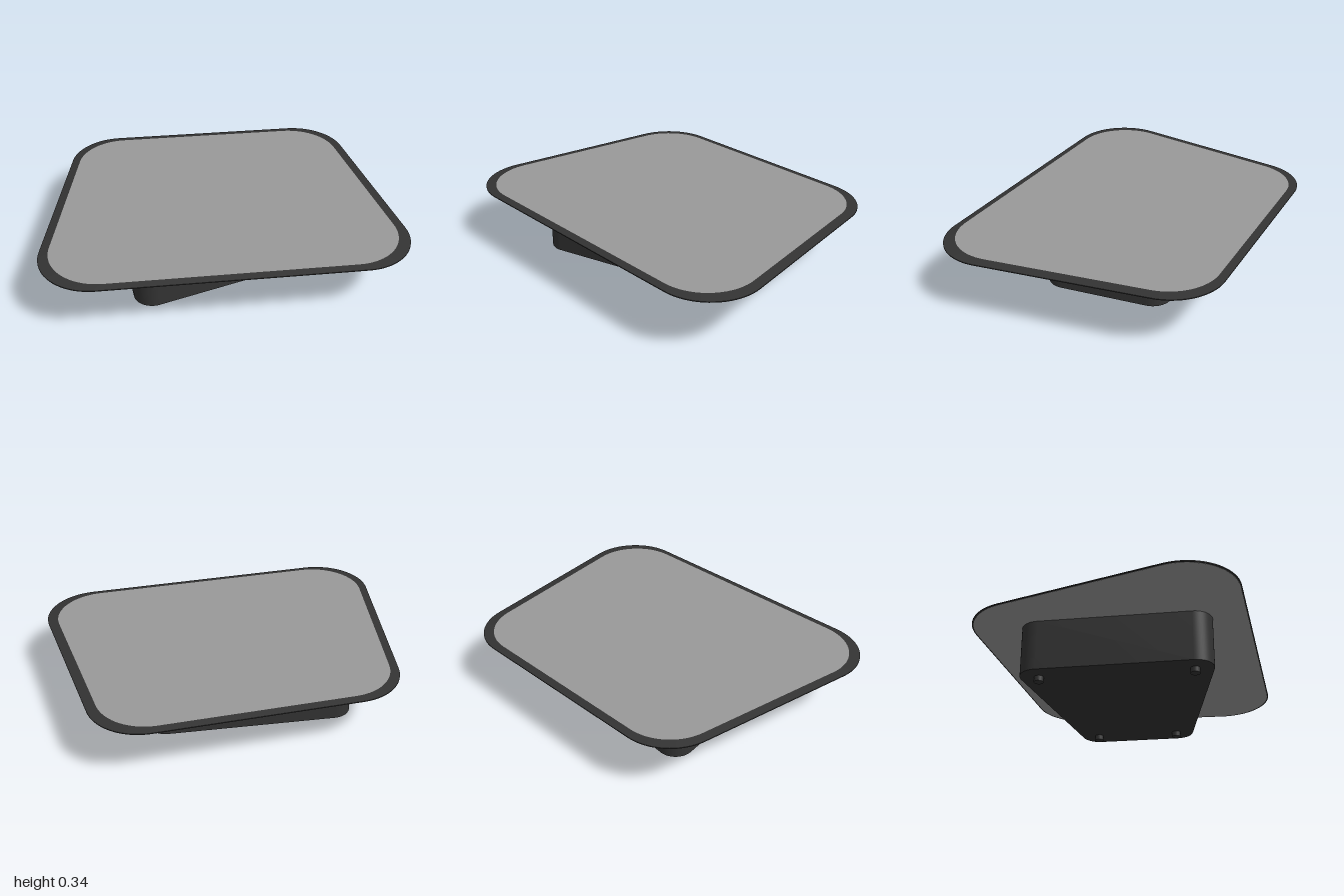
import * as THREE from 'three';
import { toCreasedNormals } from 'three/addons/utils/BufferGeometryUtils.js';

const dark = new THREE.MeshStandardMaterial({ color: 0x333333 });
const light = new THREE.MeshStandardMaterial({ color: 0x999999 });

// Corner centres as [x, z], listed front right, front left, back left, back right
const TOP = [[-0.70, 0.375], [0.70, 0.525], [0.668, -0.412], [-0.43, -0.53]];
const BASE = [[-0.405, 0.405], [0.515, 0.225], [0.515, -0.27], [-0.405, -0.45]];

// Rounded four-sided outline, counter-clockwise, in (x, -z)
function outline(corners, radius, steps = 20) {
  const c = corners.map(([x, z]) => new THREE.Vector2(x, -z));
  const normal = (a, b) => Math.atan2(a.x - b.x, b.y - a.y);
  const points = [];
  c.forEach((p, i) => {
    const next = c[(i + 1) % 4];
    const start = normal(c[(i + 3) % 4], p);
    let end = normal(p, next);
    if (end < start) end += Math.PI * 2;
    for (let k = 0; k <= steps; k++) {
      const a = start + (end - start) * k / steps;
      points.push(new THREE.Vector2(p.x + radius * Math.cos(a), p.y + radius * Math.sin(a)));
    }
  });
  return points;
}

// Band joining scaled copies of an outline, each given as [scale, y], from the bottom up
function loft(points, rings) {
  const pos = [];
  const index = [];
  const n = points.length;
  for (const [s, y] of rings) for (const p of points) pos.push(p.x * s, y, -p.y * s);
  for (let r = 0; r < rings.length - 1; r++) {
    for (let i = 0; i < n; i++) {
      const j = (i + 1) % n;
      const a = r * n + i, b = r * n + j;
      index.push(a, b, b + n, a, b + n, a + n);
    }
  }
  const geo = new THREE.BufferGeometry();
  geo.setAttribute('position', new THREE.Float32BufferAttribute(pos, 3));
  geo.setIndex(index);
  return toCreasedNormals(geo, 0.3);
}

// Upright slab from an outline
function slab(points, y0, y1) {
  const geo = new THREE.ExtrudeGeometry(new THREE.Shape(points), { depth: y1 - y0, bevelEnabled: false });
  geo.rotateX(-Math.PI / 2).translate(0, y0, 0);
  return toCreasedNormals(geo, 0.5);
}

export function createModel() {
  const group = new THREE.Group();
  const add = (name, geo, mat) => {
    const mesh = new THREE.Mesh(geo, mat);
    mesh.name = name;
    group.add(mesh);
    return mesh;
  };

  // Table top: light panel inside a thin dark rim with a sloping upper face
  const top = outline(TOP, 0.3);
  const scaled = (s) => top.map((p) => p.clone().multiplyScalar(s));
  add('topPanel', slab(scaled(0.944), 0.324, 0.335), light);
  add('undersidePanel', slab(scaled(0.99), 0.322, 0.326), light);
  add('topRim', loft(top, [[0.985, 0.323], [1, 0.323], [1, 0.328], [0.944, 0.335]]), dark);

  // Tapered plinth with rounded corners
  add('plinth', slab(outline(BASE, 0.105), 0.03, 0.323), dark);

  // Round feet under the plinth corners
  for (const [x, z] of BASE) {
    const foot = add('foot', new THREE.CylinderGeometry(0.027, 0.027, 0.032, 24), dark);
    foot.position.set(x, 0.016, z);
  }
  return group;
}
